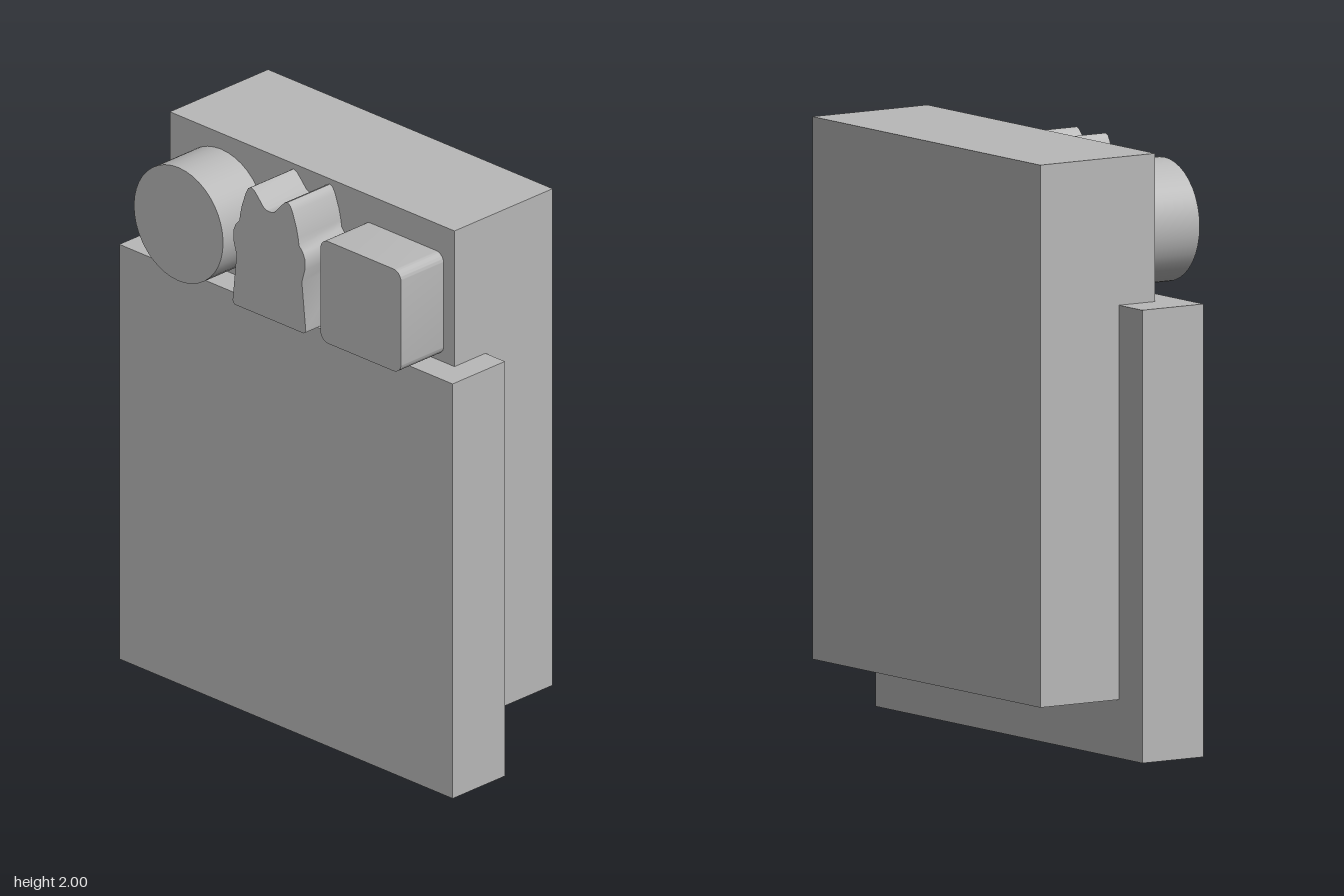
import * as THREE from 'three';
import { toCreasedNormals } from 'three/addons/utils/BufferGeometryUtils.js';

export function createModel() {
  const model = new THREE.Group();
  const grey = new THREE.MeshStandardMaterial({ color: 0xb8b8b8 });
  grey.name = 'plain grey';

  const add = (name, geometry) => {
    const mesh = new THREE.Mesh(geometry, grey);
    mesh.name = name;
    model.add(mesh);
    return mesh;
  };

  // Box given by its limits on each axis
  const block = (name, [x0, x1], [y0, y1], [z0, z1]) =>
    add(name, new THREE.BoxGeometry(x1 - x0, y1 - y0, z1 - z0))
      .position.set((x0 + x1) / 2, (y0 + y1) / 2, (z0 + z1) / 2);

  // Raised shape standing out from the face of the back block
  const backFace = 0.13, raise = 0.2;
  const raised = (name, shape) => {
    const geometry = new THREE.ExtrudeGeometry(shape, { depth: raise, bevelEnabled: false, curveSegments: 8 });
    add(name, toCreasedNormals(geometry, 0.6)).position.z = backFace;
  };

  // Main slabs
  block('frontPanel', [-0.77, 0.77], [0, 1.507], [-0.015, 0.23]);
  block('backBlock', [-0.635, 0.68], [0.195, 2], [-0.33, backFace]);

  // Round knob
  const knob = add('roundKnob', new THREE.CylinderGeometry(0.206, 0.206, raise, 40));
  knob.rotation.x = Math.PI / 2;
  knob.position.set(-0.398, 1.736, backFace + raise / 2);

  // Two-peaked figure, mirrored about its centre line
  const cx = 0.021, base = 1.53;
  const half = [[0.159, base], [0.167, 1.535], [0.169, 1.543], [0.151, 1.713], [0.165, 1.762],
    [0.165, 1.8], [0.156, 1.822], [0.138, 1.842], [0.134, 1.868], [0.125, 1.906], [0.107, 1.955],
    [0.097, 1.973], [0.084, 1.981], [0.07, 1.975], [0.048, 1.952], [0.025, 1.926], [0.012, 1.921]];
  const outline = [
    ...half.map(([x, y]) => new THREE.Vector2(cx + x, y)),
    new THREE.Vector2(cx, 1.92),
    ...half.slice().reverse().map(([x, y]) => new THREE.Vector2(cx - x, y)),
  ];
  raised('twoPeakedFigure', new THREE.Shape(outline));

  // Square pad with rounded corners
  const x0 = 0.258, x1 = 0.63, y0 = 1.53, y1 = 1.901, r = 0.035;
  const pad = new THREE.Shape();
  pad.absarc(x1 - r, y0 + r, r, -Math.PI / 2, 0);
  pad.absarc(x1 - r, y1 - r, r, 0, Math.PI / 2);
  pad.absarc(x0 + r, y1 - r, r, Math.PI / 2, Math.PI);
  pad.absarc(x0 + r, y0 + r, r, Math.PI, Math.PI * 1.5);
  pad.closePath();
  raised('roundedPad', pad);

  return model;
}
